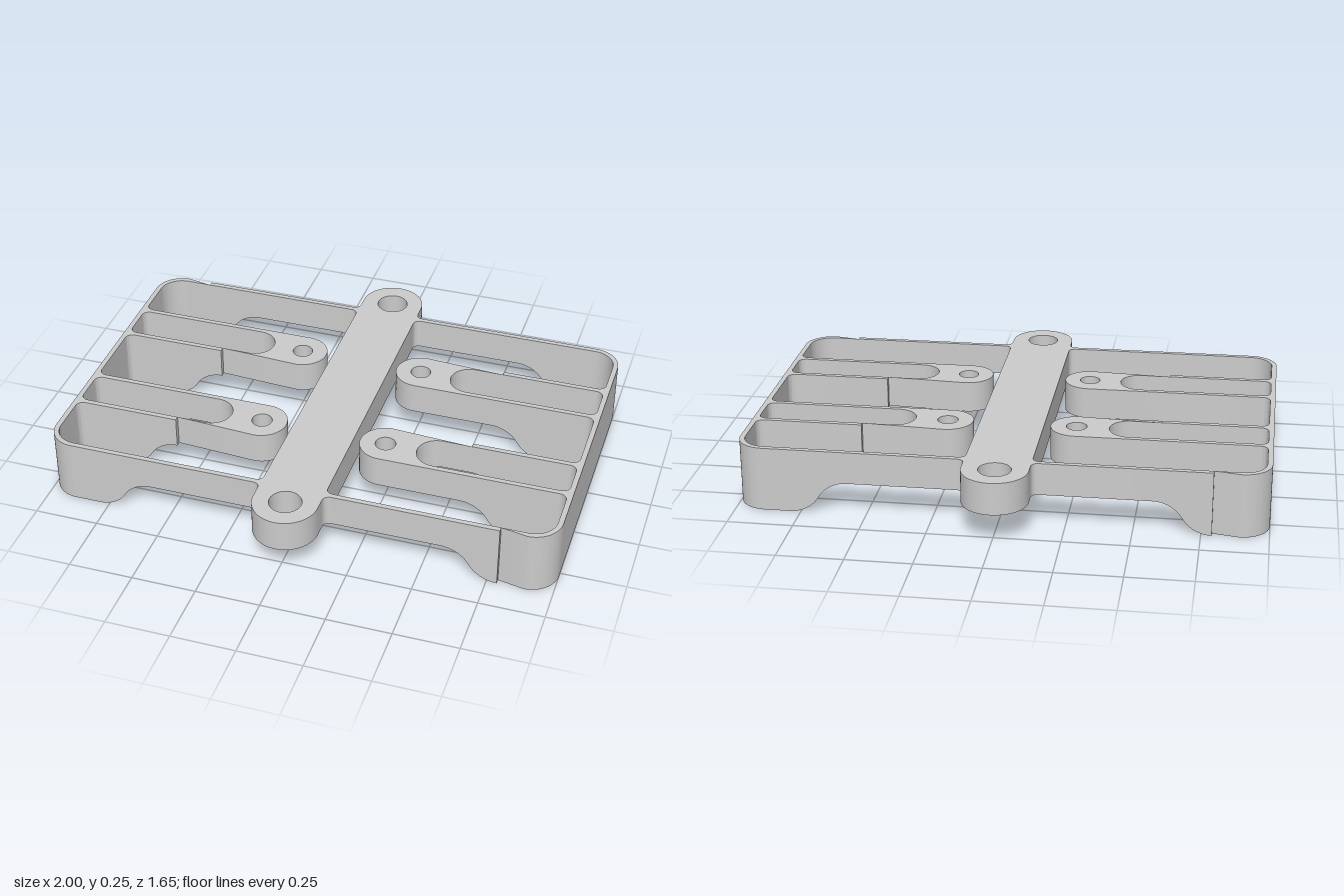
import * as THREE from 'three';
import { toCreasedNormals } from 'three/addons/utils/BufferGeometryUtils.js';

const material = new THREE.MeshStandardMaterial({ color: 0xcccccc });
const TOP = 0.25, MID = 0.125, RECESS = 0.185; // top, raised underside, recess ceiling
const X0 = 0.57, X1 = 0.79;                    // span where the underside steps down
const WALL = 0.02, HALF = 0.625;

function solid(name, shape, depth) {
  const geo = new THREE.ExtrudeGeometry(shape, { depth, bevelEnabled: false, curveSegments: 16 });
  const mesh = new THREE.Mesh(toCreasedNormals(geo, 0.6), material);
  mesh.name = name;
  return mesh;
}

// Extrude a plan shape (x, -z) upwards between two heights
function plate(name, shape, y0, y1) {
  const mesh = solid(name, shape, y1 - y0);
  mesh.geometry.rotateX(-Math.PI / 2).translate(0, y0, 0);
  return mesh;
}

function circle(x, y, r) {
  return new THREE.Path().absarc(x, y, r, 0, Math.PI * 2, true);
}

function stadium(Type, r, half) {
  const p = new Type();
  p.absarc(0, half, r, 0, Math.PI, false);
  p.absarc(0, -half, r, Math.PI, Math.PI * 2, false);
  p.closePath();
  return p;
}

// Central bar with screw eyes and a groove underneath
function centreBar() {
  const group = new THREE.Group();
  group.name = 'centreBar';
  for (const [y0, y1, grooved] of [[MID, RECESS, true], [RECESS, TOP, false]]) {
    const s = stadium(THREE.Shape, 0.125, 0.7);
    s.holes.push(circle(0, 0.7, 0.062), circle(0, -0.7, 0.062));
    if (grooved) s.holes.push(stadium(THREE.Path, 0.05, 0.52));
    group.add(plate(grooved ? 'barUnderside' : 'barTop', s, y0, y1));
  }
  return group;
}

// Frame rail filleted into the bar
function innerRail(sign) {
  const s = new THREE.Shape();
  const f = 0.03, x = 0.125, a = HALF * sign, b = (HALF - WALL) * sign;
  s.moveTo(X0, a);
  s.lineTo(x + f, a);
  s.quadraticCurveTo(x, a, x, a + f * sign);
  s.lineTo(x, b - f * sign);
  s.quadraticCurveTo(x, b, x + f, b);
  s.lineTo(X0, b);
  return plate('innerRail', s, MID, TOP);
}

// Rounded arm end, counterbored from below
function armTip(z) {
  const group = new THREE.Group();
  group.name = 'armTip';
  for (const [y0, y1, r] of [[MID, RECESS, 0.065], [RECESS, TOP, 0.04]]) {
    const s = new THREE.Shape();
    s.moveTo(X0, 0.1);
    s.absarc(0.25, 0, 0.1, Math.PI / 2, Math.PI * 1.5, false);
    s.lineTo(X0, -0.1);
    s.lineTo(X0, -0.08);
    s.absarc(0.455, 0, 0.08, Math.PI * 1.5, Math.PI / 2, true);
    s.lineTo(X0, 0.08);
    s.holes.push(circle(0.25, 0, r));
    group.add(plate('armTipLayer', s, y0, y1));
  }
  group.position.z = z;
  return group;
}

// Thin wall whose underside sweeps from raised to ground level
function steppedRail(z) {
  const r = 0.128, t = Math.asin((X1 - X0) / 2 / r);
  const s = new THREE.Shape();
  s.moveTo(X0, TOP);
  s.lineTo(X0, MID);
  s.absarc(X0, MID - r, r, Math.PI / 2, Math.PI / 2 - t, true);
  s.absarc(X1, r, r, -Math.PI / 2 - t, -Math.PI / 2, false);
  s.lineTo(X1, 0);
  s.lineTo(X1, TOP);
  const mesh = solid('steppedRail', s, WALL);
  mesh.position.z = z - WALL / 2;
  return mesh;
}

// Full-height end wall with rounded corners and comb-like pockets
function endWall() {
  const R = 0.11, inner = 1 - WALL;
  const s = new THREE.Shape();
  s.moveTo(X1, -HALF);
  s.absarc(1 - R, -HALF + R, R, -Math.PI / 2, 0, false);
  s.absarc(1 - R, HALF - R, R, 0, Math.PI / 2, false);
  s.lineTo(X1, HALF);
  const pockets = [ // upper edge, lower edge, upper radius, lower radius
    [0.605, 0.35, 0.09, 0.03], [0.33, 0.17, 0.03, 0.03], [0.15, -0.15, 0.03, 0.03],
    [-0.17, -0.33, 0.03, 0.03], [-0.35, -0.605, 0.03, 0.09],
  ];
  for (const [a, b, ra, rb] of pockets) {
    s.lineTo(X1, a);
    s.absarc(inner - ra, a - ra, ra, Math.PI / 2, 0, true);
    s.absarc(inner - rb, b + rb, rb, 0, -Math.PI / 2, true);
    s.lineTo(X1, b);
  }
  return plate('endWall', s, 0, TOP);
}

function sideFrame(name) {
  const group = new THREE.Group();
  group.name = name;
  group.add(endWall());
  for (const sign of [1, -1]) {
    group.add(innerRail(sign), armTip(0.25 * sign));
    for (const z of [0.615, 0.34, 0.16]) group.add(steppedRail(z * sign));
  }
  return group;
}

export function createModel() {
  const model = new THREE.Group();
  model.name = 'mountingBracket';
  const left = sideFrame('leftFrame');
  const right = sideFrame('rightFrame');
  right.rotation.y = Math.PI;
  model.add(centreBar(), left, right);
  return model;
}
